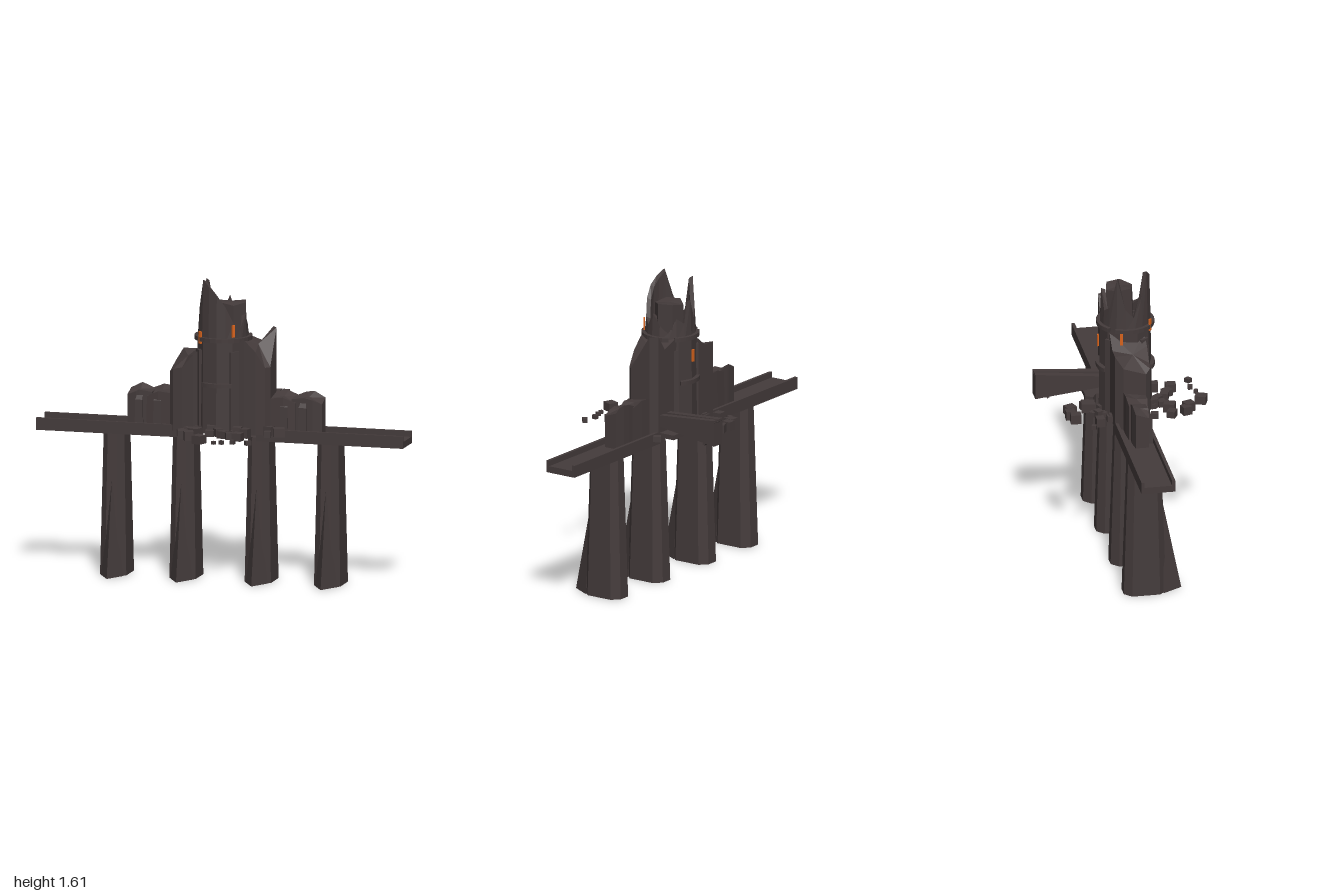
import * as THREE from 'three';

const stone = new THREE.MeshStandardMaterial({ color: 0x443b3b, flatShading: true });
stone.name = 'dark stone';
const ember = new THREE.MeshStandardMaterial({ color: 0xd8631c, flatShading: true });
ember.name = 'ember glow';

function add(parent, name, geometry, material = stone, x = 0, y = 0, z = 0) {
  const mesh = new THREE.Mesh(geometry, material);
  mesh.name = name;
  mesh.position.set(x, y, z);
  parent.add(mesh);
  return mesh;
}

// Geometry from a list of corner triples
function facets(tris) {
  const g = new THREE.BufferGeometry();
  g.setAttribute('position', new THREE.Float32BufferAttribute(tris.flat(2), 3));
  g.computeVertexNormals();
  return g;
}

// Upright block over an outline of [x, z, topHeight]; flare widens the foot
function block(outline, y0, flare = 1) {
  const n = outline.length;
  let area = 0;
  outline.forEach((p, i) => {
    const q = outline[(i + 1) % n];
    area += p[0] * q[1] - q[0] * p[1];
  });
  const pts = area > 0 ? [...outline].reverse() : outline;
  const mid = [0, 1, 2].map(k => pts.reduce((s, p) => s + p[k], 0) / n);
  const foot = p => [mid[0] + (p[0] - mid[0]) * flare, y0, mid[1] + (p[1] - mid[1]) * flare];
  const top = p => [p[0], p[2], p[1]];
  const tris = [];
  pts.forEach((p, i) => {
    const q = pts[(i + 1) % n];
    tris.push([foot(p), foot(q), top(q)], [foot(p), top(q), top(p)]);
    tris.push([[mid[0], mid[2], mid[1]], top(p), top(q)], [[mid[0], y0, mid[1]], foot(q), foot(p)]);
  });
  return facets(tris);
}

// Broken ring wall, one height per column, starting at the front
function brokenShell(heights, y0, rFoot, rTop, thick) {
  const n = heights.length, tris = [];
  const at = (i, r, y) => {
    const a = (i / n) * Math.PI * 2;
    return [Math.sin(a) * r, y, Math.cos(a) * r];
  };
  const quad = (a, b, c, d) => tris.push([a, b, c], [a, c, d]);
  for (let i = 0; i < n; i++) {
    const j = (i + 1) % n, hi = heights[i], hj = heights[j];
    const oi = at(i, rTop, hi), oj = at(j, rTop, hj);
    const ii = at(i, rTop - thick, hi - 0.01), ij = at(j, rTop - thick, hj - 0.01);
    quad(at(i, rFoot, y0), at(j, rFoot, y0), oj, oi);
    quad(at(j, rFoot - thick, y0), at(i, rFoot - thick, y0), ii, ij);
    quad(oi, oj, ij, ii);
  }
  return facets(tris);
}

// Flat ledge around the tower, covering an arc centred on a heading
function ledge(r, thick, height, heading, sweep) {
  const s = new THREE.Shape();
  const a0 = heading - sweep / 2, a1 = heading + sweep / 2;
  s.absarc(0, 0, r, a0, a1, false);
  s.absarc(0, 0, r - thick, a1, a0, true);
  const g = new THREE.ExtrudeGeometry(s, { depth: height, bevelEnabled: false, curveSegments: 10 });
  return g.rotateX(-Math.PI / 2);
}

function seeded(seed) {
  return () => (seed = (seed * 16807) % 2147483647) / 2147483647;
}

function makePier(x) {
  const pier = new THREE.Group();
  pier.name = 'pier';
  const w = 0.056, d = 0.088, c = 0.03, h = 0.775;
  const outline = [[-w, d - c], [-w + c, d], [w - c, d], [w, d - c], [w, c - d], [w - c, -d], [c - w, -d], [-w, c - d]];
  add(pier, 'pierShaft', block(outline.map(([px, pz]) => [px, pz - 0.01, h]), 0, 1.28));
  // Pointed cutwater at the front foot
  const A = [-0.06, 0, 0.085], B = [0.06, 0, 0.085], C = [0, 0, 0.19], D = [0, 0.51, 0.088];
  add(pier, 'cutwater', facets([[A, C, D], [C, B, D], [B, A, D], [A, B, C]]));
  pier.position.x = x;
  return pier;
}

export function createModel() {
  const model = new THREE.Group();
  model.name = 'ruinedBridgeTower';

  // Bridge in two halves with low parapets
  for (const s of [-1, 1]) {
    add(model, 'bridgeDeck', new THREE.BoxGeometry(0.8, 0.035, 0.18), stone, s * 0.6, 0.7725, -0.01);
    for (const z of [-0.0915, 0.0715])
      add(model, 'parapet', new THREE.BoxGeometry(0.85, 0.035, 0.017), stone, s * 0.575, 0.8025, z);
    for (const x of [0.205, 0.583]) model.add(makePier(s * x));
  }

  // Tower body, pilasters and ledges
  const tower = new THREE.Group();
  tower.name = 'tower';
  model.add(tower);
  add(tower, 'towerBody', new THREE.CylinderGeometry(0.135, 0.142, 0.5, 10), stone, 0, 1.04, 0);
  for (const a of [-0.95, 0.7, 2.3, 3.9]) {
    const rib = add(tower, 'pilaster', new THREE.BoxGeometry(0.05, 0.44, 0.03), stone, Math.sin(a) * 0.13, 1.01, Math.cos(a) * 0.13);
    rib.rotation.y = a;
  }
  add(tower, 'upperLedge', ledge(0.153, 0.05, 0.022, -Math.PI / 2, Math.PI * 1.35), stone, 0, 1.28, 0);
  add(tower, 'upperLedgeBack', ledge(0.153, 0.05, 0.022, Math.PI / 2, Math.PI * 0.5), stone, 0, 1.28, 0);
  for (const a of [-1, 1])
    add(tower, 'lowerLedge', ledge(0.155, 0.05, 0.022, a * Math.PI / 2, 1.15), stone, 0, 1.04, 0);

  // Broken crown and the inner core
  const crown = [1.53, 1.47, 1.38, 1.35, 1.42, 1.36, 1.32, 1.4, 1.37, 1.49, 1.38, 1.41, 1.585, 1.41, 1.36, 1.46, 1.605, 1.57];
  add(tower, 'brokenCrown', brokenShell(crown, 1.28, 0.136, 0.128, 0.022));
  const core = [];
  for (let i = 0; i < 6; i++) {
    const a = (i / 6) * Math.PI * 2 + 0.3;
    core.push([0.045 + Math.sin(a) * 0.078, -0.025 + Math.cos(a) * 0.078, i % 3 ? 1.477 : 1.465]);
  }
  add(tower, 'innerCore', block(core, 1.25, 1.05));

  // Glowing slits: [x, y, z]
  for (const [x, y, z] of [[-0.092, 1.3, 0.112], [0.083, 1.34, 0.106], [-0.139, 1.25, -0.045], [0, 1.19, -0.143], [0.137, 1.22, -0.03]]) {
    const slit = add(tower, 'glowingSlit', new THREE.BoxGeometry(0.016, 0.065, 0.009), ember, x * 1.02, y, z * 1.02);
    slit.rotation.y = Math.atan2(x, z);
  }

  // Split flanking turrets
  add(model, 'leftTurret', block([[0.08, 0.085, 1.29], [0.14, 0.09, 1.29], [0.2, 0.09, 1.23], [0.25, 0.085, 1.15], [0.272, 0.06, 1.15],
    [0.272, -0.06, 1.34], [0.245, -0.1, 1.34], [0.19, -0.1, 1.26], [0.08, -0.1, 1.3]], 0.79));
  add(model, 'rightTurret', block([[-0.08, 0.085, 1.25], [-0.14, 0.09, 1.2], [-0.2, 0.09, 1.13], [-0.25, 0.085, 1.12], [-0.275, 0.06, 1.1],
    [-0.275, -0.06, 1.14], [-0.245, -0.1, 1.2], [-0.17, -0.1, 1.2], [-0.08, -0.1, 1.27]], 0.79));

  // Ruined gatehouses: sloping walls with ragged tops
  for (const [s, end] of [[-1, 0.515], [1, 0.545]]) {
    const house = new THREE.Group();
    house.name = 'gatehouse';
    model.add(house);
    add(house, 'innerHall', block([[s * 0.25, 0.055, 0.98], [s * 0.34, 0.055, 0.99], [s * 0.405, 0.045, 0.96],
      [s * 0.405, -0.055, 0.985], [s * 0.34, -0.06, 1.01], [s * 0.25, -0.06, 1.0]], 0.785, 1.02));
    add(house, 'outerHall', block([[s * 0.38, 0.035, 0.98], [s * 0.45, 0.038, 0.99], [s * (end - 0.05), 0.038, 0.98], [s * end, 0.03, 0.96],
      [s * end, -0.04, 0.985], [s * (end - 0.06), -0.048, 1.015], [s * 0.44, -0.048, 1.01], [s * 0.38, -0.045, 0.985]], 0.785));
    for (const x of [0.33, 0.43])
      add(house, 'wallButtress', block([[s * x, 0.03, 0.97], [s * (x + 0.03), 0.03, 0.97], [s * (x + 0.035), 0.058, 0.94], [s * (x - 0.005), 0.058, 0.94]], 0.785, 1.15));
  }

  // Collapsed span jutting from the back: two side walls and a tilted end slab
  const span = new THREE.Group();
  span.name = 'collapsedSpan';
  model.add(span);
  const side = new THREE.Shape([[0.09, 0.85], [0.09, 0.91], [0.45, 0.94], [0.45, 0.8]].map(p => new THREE.Vector2(...p)));
  for (const [x, lean] of [[0.138, 0.02], [0.2, 0]]) {
    const g = new THREE.ExtrudeGeometry(side, { depth: 0.035, bevelEnabled: false });
    g.rotateY(Math.PI / 2);
    const p = g.attributes.position;
    for (let i = 0; i < p.count; i++) p.setX(i, p.getX(i) + lean * Math.max(0, (-p.getZ(i) - 0.35) / 0.1));
    g.computeVertexNormals();
    add(span, 'spanWall', g, stone, x, 0, 0);
  }
  const endSlab = add(span, 'spanEnd', new THREE.BoxGeometry(0.065, 0.15, 0.015), stone, 0.198, 0.865, -0.412);
  endSlab.rotation.x = -0.45;
  add(span, 'spanFoot', new THREE.BoxGeometry(0.1, 0.025, 0.26), stone, 0.185, 0.8025, -0.06);

  // Rubble: placed stones [x, z, size], then a seeded scatter about the tower
  const rubble = new THREE.Group();
  rubble.name = 'rubble';
  model.add(rubble);
  const rnd = seeded(77);
  const stones = [[-0.02, 0.4, 0.06], [-0.1, 0.32, 0.055], [-0.14, 0.3, 0.05], [-0.16, 0.22, 0.05], [-0.09, 0.22, 0.06], [-0.02, 0.19, 0.045],
    [-0.04, 0.34, 0.025], [0.06, 0.22, 0.05], [0.1, 0.24, 0.05], [0.155, 0.27, 0.055], [0.17, 0.18, 0.05], [0.24, 0.38, 0.03],
    [0.155, 0.375, 0.025], [0.1, 0.395, 0.022], [0.06, 0.405, 0.02], [0.33, 0.1, 0.06], [0.28, 0.14, 0.04], [0.27, 0.07, 0.05],
    [-0.14, -0.29, 0.055], [-0.09, -0.31, 0.05], [-0.03, -0.3, 0.055], [-0.2, -0.17, 0.05], [-0.24, -0.21, 0.025],
    [-0.01, -0.2, 0.07], [-0.09, -0.16, 0.04], [0.08, -0.17, 0.05], [0.3, -0.13, 0.04]];
  for (let i = 0; i < 36; i++) {
    const a = rnd() * Math.PI * 2, r = 0.06 + rnd() * 0.15;
    stones.push([Math.sin(a) * r, Math.cos(a) * r, 0.03 + rnd() * 0.025]);
  }
  for (const [x, z, size] of stones) {
    const h = Math.min(size * (0.7 + rnd() * 0.3), 0.05);
    const rock = add(rubble, 'rubbleStone', new THREE.BoxGeometry(size, h, size * 0.9), stone, x, 0.79 + h / 2, z);
    rock.rotation.y = rnd() * Math.PI;
  }
  return model;
}
